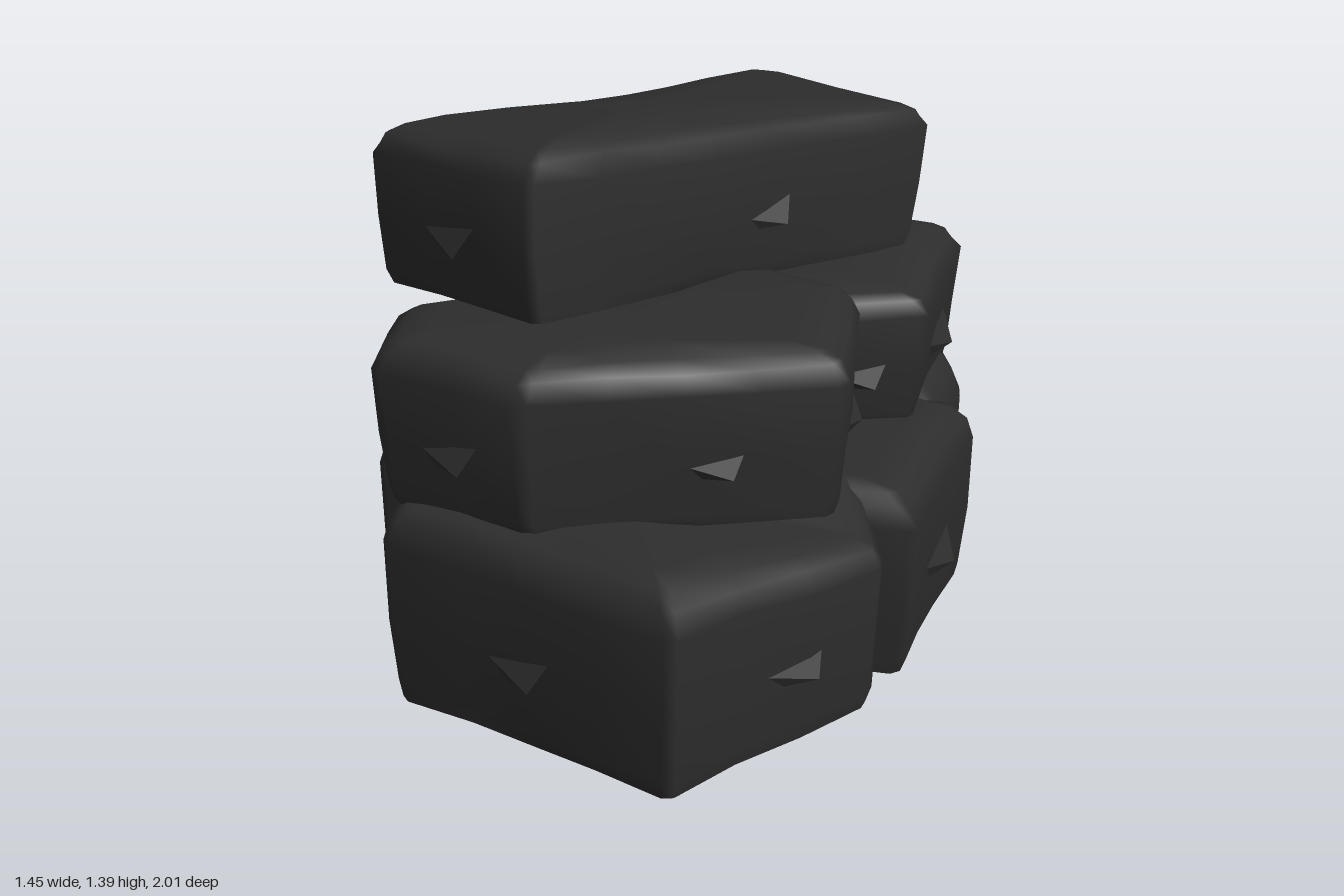
import * as THREE from 'three';

const coal = new THREE.MeshStandardMaterial({ color: 0x2d2d2d });
coal.name = 'charcoal stone';

// Seeded noise for the uneven faces
function seeded(seed) {
  let s = seed;
  return () => ((s = (s * 16807) % 2147483647) / 2147483647) - 0.5;
}

// Footprint with clipped corners and slightly wavering edges; z of each point holds the droop of the rim
function outline(corners, rnd) {
  const pts = [];
  const n = corners.length;
  for (let i = 0; i < n; i++) {
    const [ax, az, droopA = 0] = corners[i];
    const [bx, bz, droopB = 0] = corners[(i + 1) % n];
    const dir = new THREE.Vector2(bx - ax, bz - az);
    const len = dir.length();
    const cut = Math.min(0.02, len * 0.2) / len;
    dir.normalize();
    const steps = Math.max(1, Math.round(len / 0.2));
    for (let k = 0; k <= steps; k++) {
      const t = cut + (1 - 2 * cut) * k / steps;
      const wave = k > 0 && k < steps ? rnd() * 0.016 : 0;
      pts.push(new THREE.Vector3(
        ax + (bx - ax) * t - dir.y * wave,
        az + (bz - az) * t + dir.x * wave,
        droopA + (droopB - droopA) * t,
      ));
    }
  }
  return pts;
}

// Rough block lofted from rings; corners are [x, z, droop] running from front-left to front-right and round
function block({ corners, bottom, top, tilt = 0, bevel = 1, foot = 0.035, seed }) {
  const rnd = seeded(seed);
  const pts = outline(corners, rnd);
  const n = pts.length;
  const c = pts.reduce((s, p) => s.add(p), new THREE.Vector3()).divideScalar(n);
  const h = top - bottom;
  const mid = (top + bottom) / 2;
  const rings = [ // [height, inset]
    [bottom, foot], [bottom + h * 0.08, foot * 0.7], [bottom + h * 0.4, 0.01], [bottom + h * 0.79, 0],
    [bottom + h * 0.9, 0.025 * bevel], [top - 0.018, 0.06 * bevel], [top, 0.14 * bevel],
  ];
  const pos = [];
  const index = [];
  const put = (x, y, z) => pos.push(x, Math.max(0, y + tilt * z), z - tilt * (y - mid));
  const ring = (y, inset, wobble) => pts.forEach((p) => {
    const dx = p.x - c.x, dz = p.y - c.y;
    const k = (rnd() * wobble - inset) / Math.hypot(dx, dz);
    put(p.x + dx * k, y + rnd() * wobble - p.z * ((y - bottom) / h) ** 2, p.y + dz * k);
  });
  rings.forEach(([y, inset], r) => ring(y, inset, r > 0 && r < 5 ? 0.012 : 0));
  for (let r = 0; r < rings.length - 1; r++) {
    for (let i = 0; i < n; i++) {
      const a = r * n + i, b = r * n + (i + 1) % n;
      index.push(a, b, a + n, b, b + n, a + n);
    }
  }
  // Top and underside
  const topRing = (rings.length - 1) * n;
  put(c.x, top, c.y);
  const topMid = rings.length * n;
  ring(bottom, foot, 0);
  put(c.x, bottom, c.y);
  const low = topMid + 1;
  for (let i = 0; i < n; i++) {
    const j = (i + 1) % n;
    index.push(topRing + i, topRing + j, topMid);
    index.push(low + j, low + i, low + n);
  }
  const geo = new THREE.BufferGeometry();
  geo.setAttribute('position', new THREE.Float32BufferAttribute(pos, 3));
  geo.setIndex(index);
  geo.computeVertexNormals();
  return new THREE.Mesh(geo, coal);
}

// Sharp flake jutting from a wall
function flakeGeometry() {
  const g = new THREE.BufferGeometry();
  const a = [-0.12, 0.0, -0.03], b = [0.13, 0.06, -0.03], c = [-0.05, -0.06, -0.03];
  const tip = [0.07, -0.055, 0.02];
  g.setAttribute('position', new THREE.Float32BufferAttribute([a, tip, b, a, c, tip, c, b, tip, a, b, c].flat(), 3));
  g.computeVertexNormals();
  return g;
}

// One flake on each long wall
function addFlakes(group, { corners, bottom, top, tilt = 0 }, flake) {
  corners.forEach(([x0, z0], i) => {
    const [x1, z1] = corners[(i + 1) % corners.length];
    const len = Math.hypot(x1 - x0, z1 - z0);
    if (len < 0.32) return;
    const t = i % 2 ? 0.55 : 0.45;
    const x = x0 + (x1 - x0) * t, z = z0 + (z1 - z0) * t;
    const m = new THREE.Mesh(flake, coal);
    m.name = 'flake';
    m.position.set(x, bottom + (top - bottom) * 0.43 + tilt * z, z);
    m.rotation.y = Math.atan2(-(z1 - z0), x1 - x0);
    m.scale.setScalar(Math.min(1, len / 0.45));
    group.add(m);
  });
}

export function createModel() {
  const model = new THREE.Group();
  model.name = 'stonePile';
  const flake = flakeGeometry();
  const blocks = {
    bottomFrontBlock: {
      corners: [[-0.57, 0.69], [0.2, 1.01], [0.6, 0.47, 0.07], [0.5, 0.2], [-0.52, 0.18], [-0.59, 0.45]],
      bottom: 0, top: 0.535, seed: 11,
    },
    bottomMiddleBlock: {
      corners: [[-0.73, 0.23], [-0.3, 0.36], [0.65, 0.33], [0.73, -0.26], [0.3, -0.38], [-0.65, -0.34]],
      bottom: 0, top: 0.505, seed: 23,
    },
    bottomBackBlock: {
      corners: [[-0.42, -0.2], [0.65, -0.2], [0.67, -0.46], [0.55, -0.83], [0.42, -1.01], [-0.47, -0.83]],
      bottom: 0, top: 0.54, seed: 37,
    },
    middleFrontBlock: {
      corners: [[-0.58, 0.65], [-0.2, 0.785], [0.51, 0.5], [0.46, 0.05], [0.25, -0.04], [-0.61, 0.42]],
      bottom: 0.51, top: 0.94, seed: 41,
    },
    middleBackBlock: {
      corners: [[-0.42, -0.1], [0.2, 0.05, 0.03], [0.61, -0.09, 0.02], [0.64, -0.58], [0, -0.8, 0.02], [-0.45, -0.62, 0.02]],
      bottom: 0.49, top: 0.875, seed: 59,
    },
    topBlock: {
      corners: [[-0.67, 0.36, 0.02], [-0.2, 0.66], [0.56, -0.45, 0.03], [0.14, -0.69]],
      bottom: 0.91, top: 1.322, tilt: 0.135, bevel: 1.2, foot: 0.05, seed: 71,
    },
  };
  for (const [name, spec] of Object.entries(blocks)) {
    const group = new THREE.Group();
    group.name = name;
    const body = block(spec);
    body.name = name + 'Body';
    group.add(body);
    addFlakes(group, spec, flake);
    model.add(group);
  }
  return model;
}
